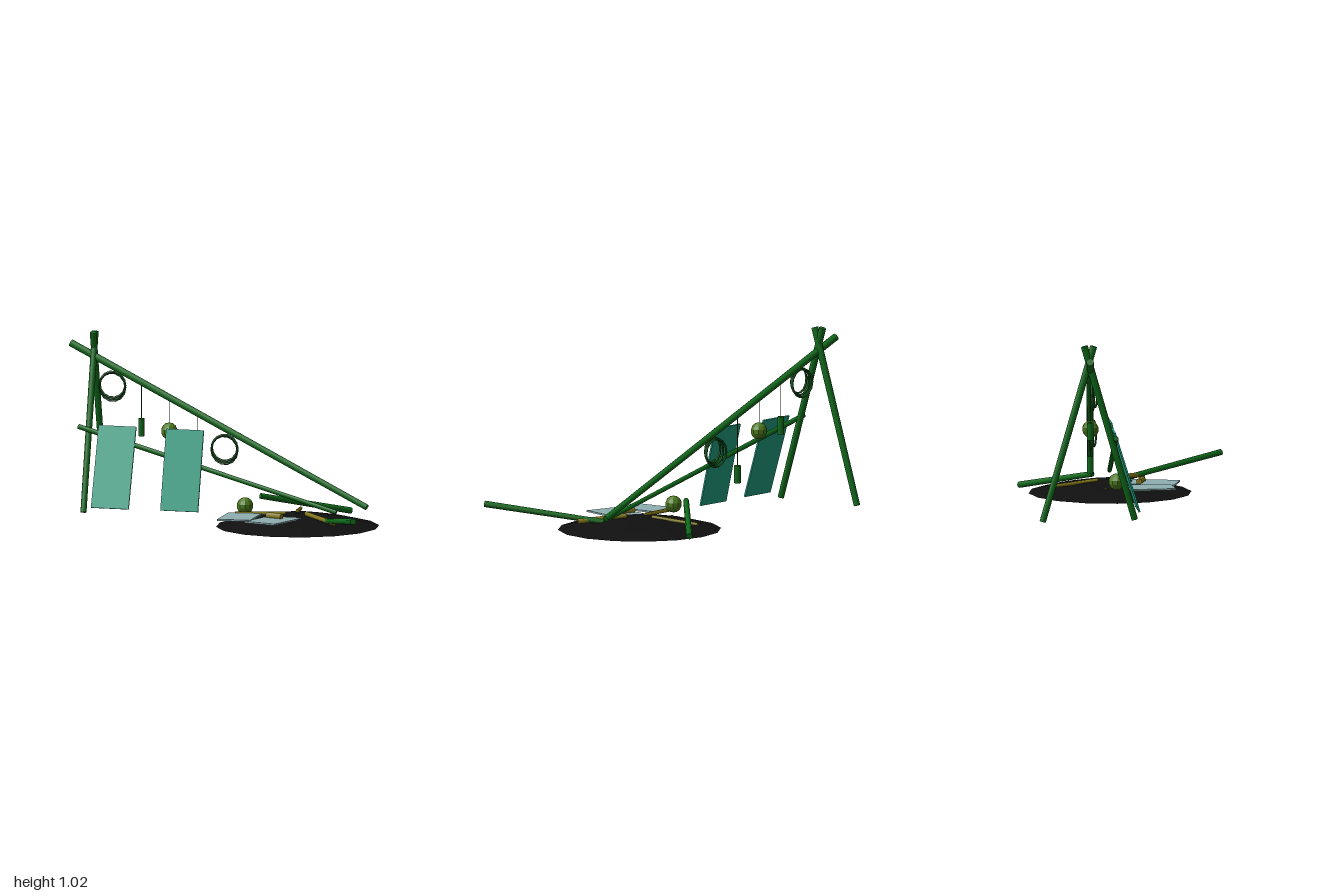
import * as THREE from 'three';

const mat = (color, extra = {}) => new THREE.MeshStandardMaterial({ color, ...extra });
const WOOD = mat(0x0f6a1a), STICK = mat(0x857a14), GOURD = mat(0x4c7a1c, { flatShading: true });
const ROPE = mat(0x14561a), CLOTH = mat(0x22a283), SHEET = mat(0x8fb0b2);
const EARTH = mat(0x101010, { side: THREE.DoubleSide, flatShading: true });

export function createModel() {
  const root = new THREE.Group();

  const add = (name, geometry, material, pos = [0, 0, 0], rot = [0, 0, 0]) => {
    const m = new THREE.Mesh(geometry, material);
    m.name = name;
    m.position.set(...pos);
    m.rotation.set(...rot);
    root.add(m);
    return m;
  };

  // Tapered round bar between two points
  const rod = (name, from, to, r0, r1, material = WOOD, sides = 8) => {
    const a = new THREE.Vector3(...from), b = new THREE.Vector3(...to);
    const dir = b.clone().sub(a);
    const m = add(name, new THREE.CylinderGeometry(r1, r0, dir.length(), sides), material);
    m.position.copy(a).add(b).multiplyScalar(0.5);
    m.quaternion.setFromUnitVectors(new THREE.Vector3(0, 1, 0), dir.normalize());
    return m;
  };

  // Frame: crossed legs, sloping ridge and lower rail
  const ridgeA = [-0.99, 0.945, -0.335], ridgeB = [0.815, 0.112, -0.168];
  const ridgeAt = x => {
    const t = (x - ridgeA[0]) / (ridgeB[0] - ridgeA[0]);
    return ridgeA.map((v, i) => v + (ridgeB[i] - v) * t);
  };
  rod('backLeg', [-0.873, 0.025, -0.592], [-0.848, 1.015, -0.302], 0.018, 0.02);
  rod('frontLeg', [-0.829, 0.025, -0.068], [-0.853, 1.015, -0.355], 0.018, 0.02);
  rod('ridgePole', ridgeA, ridgeB, 0.022, 0.018);
  rod('lowerRail', [-0.895, 0.495, -0.18], [0.665, 0.09, -0.073], 0.015, 0.013);

  // Fallen poles
  rod('fallenPoleBack', [0.17, 0.143, -0.215], [0.585, 0.027, -0.59], 0.016, 0.018);
  rod('fallenPoleFront', [0.62, 0.052, 0.01], [0.98, 0.14, 0.585], 0.015, 0.018);

  // Low ash mound, an open shell
  const mound = [[0.46, 0], [0.32, 0.034], [0.16, 0.062], [0, 0.074]]
    .map(([r, y]) => new THREE.Vector2(r, y));
  add('mound', new THREE.LatheGeometry(mound, 16), EARTH, [0.43, 0, -0.092]);

  // Leaning cloth panels: x, top z, bottom z
  for (const [x, zTop, zBottom] of [[-0.662, -0.175, -0.035], [-0.257, -0.158, -0.052]]) {
    const dz = zBottom - zTop;
    add('hangingPanel', new THREE.BoxGeometry(0.222, Math.hypot(0.45, dz), 0.01), CLOTH,
      [x, 0.283, (zTop + zBottom) / 2], [-Math.atan2(dz, 0.45), 0, 0]);
  }

  // Sheets lying on the mound
  add('fallenSheet', new THREE.BoxGeometry(0.19, 0.009, 0.28), SHEET, [0.148, 0.064, 0.1], [0, 0.085, 0]);
  add('fallenSheet', new THREE.BoxGeometry(0.2, 0.009, 0.28), SHEET, [0.362, 0.06, 0.142], [0, -0.26, 0]);

  // Gourds: one hanging, one on the ground
  const gourd = new THREE.SphereGeometry(0.048, 10, 7);
  add('hangingGourd', gourd, GOURD, [-0.39, 0.478, -0.278]);
  add('fallenGourd', gourd, GOURD, [0.122, 0.103, -0.082]);

  // Hanging tubes and all strings
  for (const [x, y] of [[-0.56, 0.49], [-0.22, 0.25]]) {
    add('hangingTube', new THREE.CylinderGeometry(0.019, 0.019, 0.1, 8), WOOD, [x, y, ridgeAt(x)[2]]);
  }
  for (const [x, y] of [[-0.56, 0.53], [-0.39, 0.52], [-0.22, 0.29]]) {
    const top = ridgeAt(x);
    rod('string', [x, y, top[2]], top, 0.002, 0.002, ROPE, 5);
  }

  // Rope coils of three loose loops
  for (const [x, y, z] of [[-0.732, 0.718, -0.295], [-0.05, 0.397, -0.238]]) {
    for (let i = 0; i < 3; i++) {
      add('ropeCoil', new THREE.TorusGeometry(0.08 - i * 0.003, 0.006, 6, 14), ROPE,
        [x + (i - 1) * 0.004, y + (i - 1) * 0.008, z + (i - 1) * 0.01],
        [0, (i - 1) * 0.08, i * 0.2]);
    }
  }

  // Loose sticks on the mound
  rod('looseStick', [0.335, 0.05, -0.44], [0.405, 0.072, -0.165], 0.01, 0.012, STICK, 6);
  rod('looseStick', [0.495, 0.078, -0.05], [0.715, 0.055, 0.122], 0.014, 0.015, STICK, 6);
  rod('looseStick', [0.08, 0.064, -0.035], [0.365, 0.072, -0.08], 0.011, 0.011, STICK, 6);
  rod('shortStick', [0.3, 0.076, 0.06], [0.395, 0.076, 0.09], 0.018, 0.018, STICK, 6);

  // Small chips half buried around the middle
  let seed = 7;
  const rand = () => (seed = (seed * 16807) % 2147483647) / 2147483647;
  const chip = new THREE.TetrahedronGeometry(0.013);
  for (let i = 0; i < 12; i++) {
    const a = i * 2.4, r = 0.05 + 0.19 * rand();
    add('chip', chip, STICK,
      [0.4 + r * Math.cos(a), 0.07 - r * 0.1, -0.12 + r * 0.5 * Math.sin(a)],
      [rand() * 3, rand() * 3, 0]);
  }
  return root;
}
